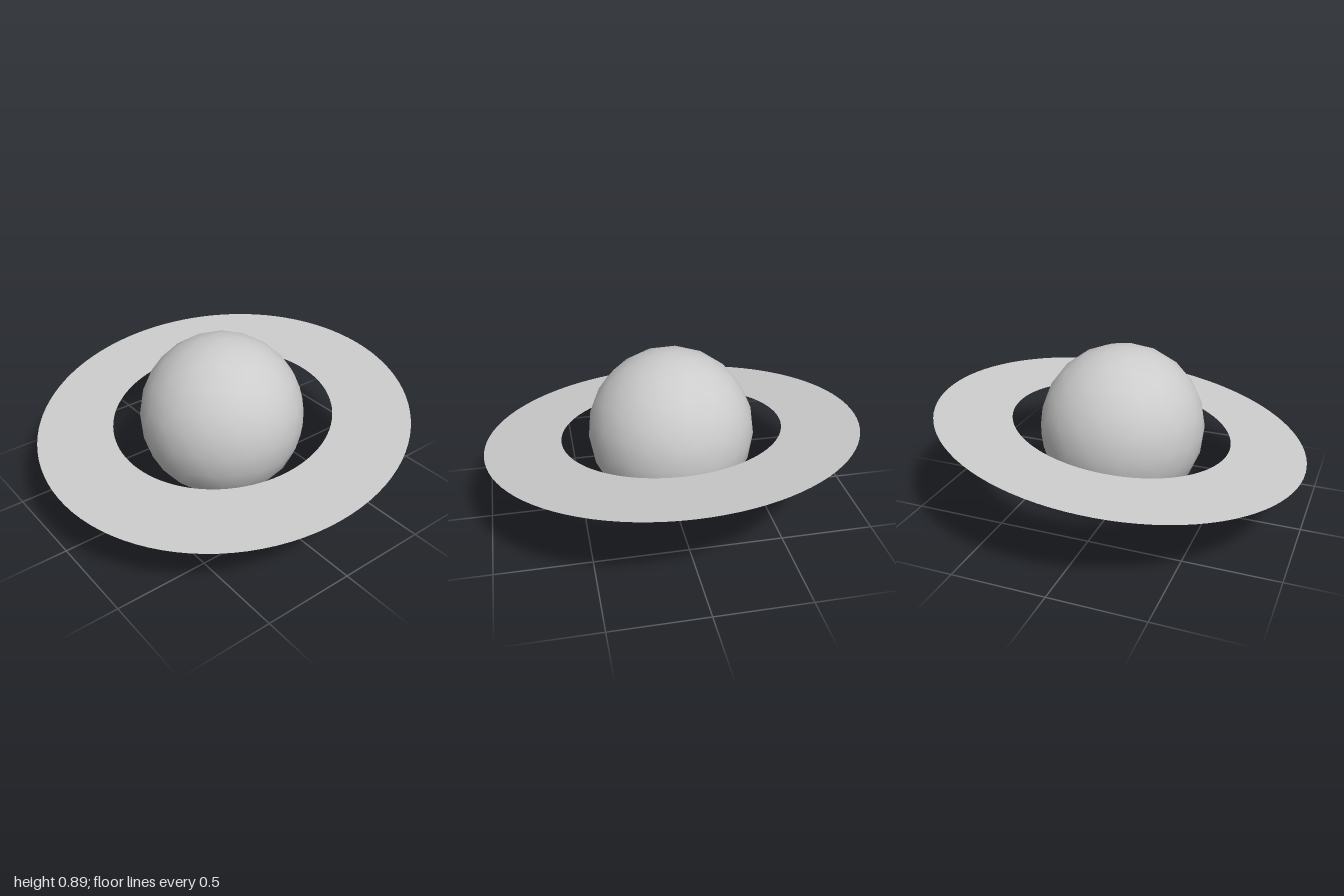
import * as THREE from 'three';

const RADIUS = 0.445;

// Faceted ball: icosahedron with a corner at each pole, each edge split in four
function icoBall(radius) {
  const verts = [0, 1, 0];
  const y = 1 / Math.sqrt(5), r = 2 / Math.sqrt(5);
  for (const [height, offset] of [[y, 0], [-y, Math.PI / 5]]) {
    for (let i = 0; i < 5; i++) {
      const a = offset + (i * 2 * Math.PI) / 5;
      verts.push(r * Math.cos(a), height, -r * Math.sin(a));
    }
  }
  verts.push(0, -1, 0);

  const faces = [];
  for (let i = 0; i < 5; i++) {
    const j = (i + 1) % 5;
    const u = 1 + i, un = 1 + j, l = 6 + i, ln = 6 + j;
    faces.push(0, u, un, u, l, un, un, l, ln, 11, ln, l);
  }
  return new THREE.PolyhedronGeometry(verts, faces, radius, 3);
}

export function createModel() {
  const group = new THREE.Group();
  group.name = 'ringedPlanet';

  const planetGrey = new THREE.MeshStandardMaterial({ color: 0xcccccc });
  planetGrey.name = 'planetGrey';
  planetGrey.side = THREE.DoubleSide;

  // Planet resting on the ground
  const planet = new THREE.Mesh(icoBall(RADIUS), planetGrey);
  planet.name = 'planet';
  planet.position.y = RADIUS;
  group.add(planet);

  // Flat ring, tilted down towards the front and slightly to the left
  const ring = new THREE.Mesh(new THREE.RingGeometry(0.593, 1.001, 96), planetGrey);
  ring.name = 'ring';
  ring.position.y = RADIUS;
  const normal = new THREE.Vector3(0.045, 1, 0.128).normalize();
  ring.quaternion.setFromUnitVectors(new THREE.Vector3(0, 0, 1), normal);
  group.add(ring);

  return group;
}
